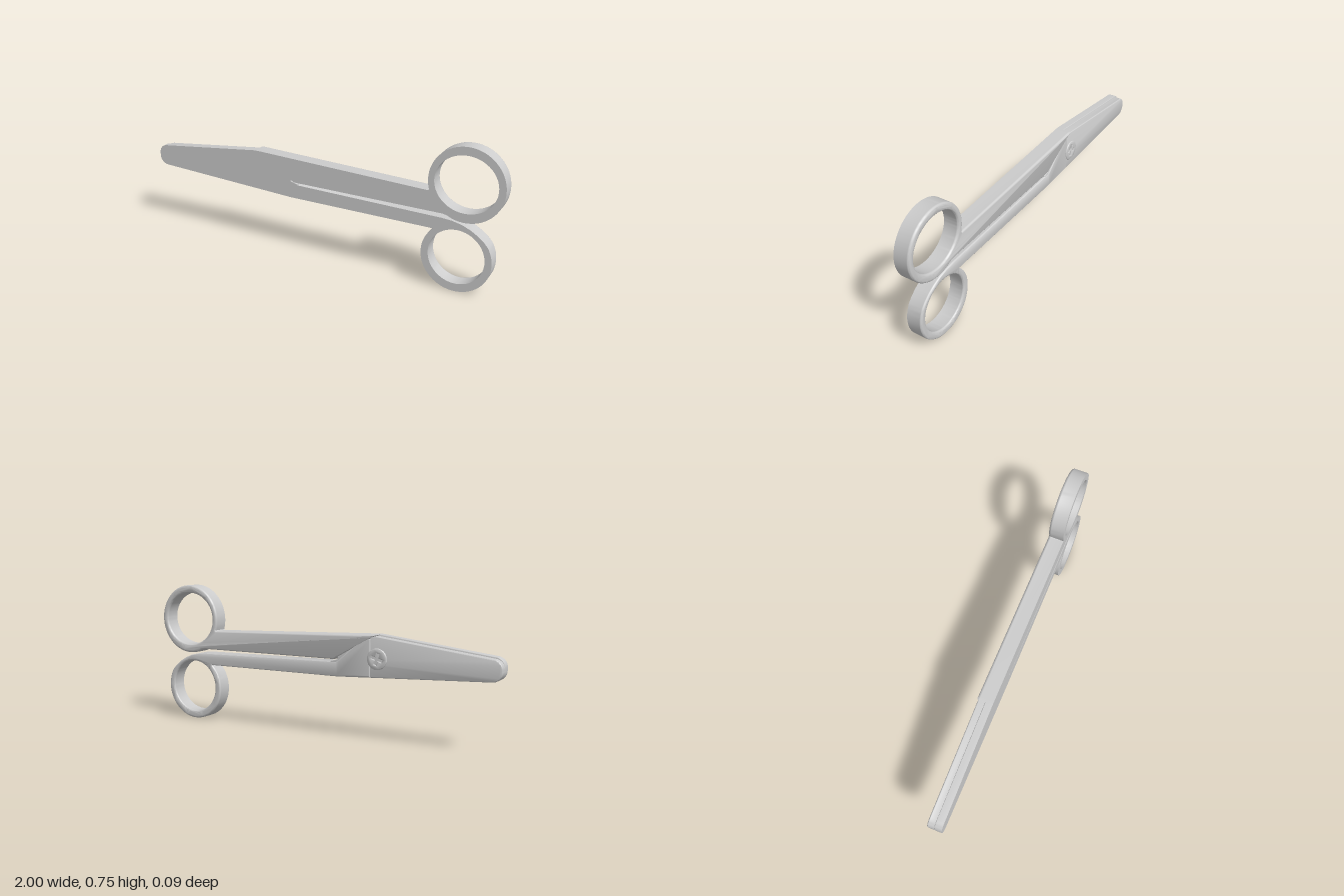
import * as THREE from 'three';
import { mergeGeometries, toCreasedNormals } from 'three/addons/utils/BufferGeometryUtils.js';

const FRONT = 0.042;
const material = new THREE.MeshStandardMaterial({ color: 0xcccccc });

// Points along a circular arc, angles in degrees.
function arc(cx, cy, r, from, to, n) {
  return Array.from({ length: n + 1 }, (_, i) => {
    const a = THREE.MathUtils.degToRad(from + (to - from) * i / n);
    return [cx + r * Math.cos(a), cy + r * Math.sin(a)];
  });
}

function outline(points, hole) {
  const shape = new THREE.Shape(points.map(p => new THREE.Vector2(...p)));
  if (hole) {
    const [x, y, rx, ry] = hole;
    shape.holes.push(new THREE.Path().absellipse(x, y, rx, ry, 0, Math.PI * 2, true));
  }
  return shape;
}

// Flat plate with a sharp front edge and a rounded back edge.
function plate(name, shape, back, front, round) {
  const body = new THREE.ExtrudeGeometry(shape, {
    depth: front - back - round, bevelEnabled: false, curveSegments: 48,
  }).translate(0, 0, back + round);
  const rim = new THREE.ExtrudeGeometry(shape, {
    depth: 0.002, bevelEnabled: true, bevelThickness: round, bevelSize: round,
    bevelOffset: -round, bevelSegments: 4, curveSegments: 48,
  }).translate(0, 0, back + round);
  const mesh = new THREE.Mesh(toCreasedNormals(mergeGeometries([body, rim]), 0.6), material);
  mesh.name = name;
  return mesh;
}

// Blade with a blunt rounded tip; inset lowers the top edge a little.
function bladeShape(inset) {
  const r = 0.05;
  return outline([
    [-0.1, 0.395], [-0.14, 0.405], [-0.14, 0.53 - inset], [-0.36, 0.54 - inset],
    ...arc(-0.95, 0.418 - inset, r, 97, 180, 8),
    ...arc(-0.95, 0.402, r, 180, 267, 8),
    [-0.14, 0.315], [-0.1, 0.315],
  ]);
}

export function createModel() {
  const group = new THREE.Group();

  // Upper handle: finger ring, shank and slanted shoulder at the pivot
  const upper = outline([
    [-0.12, 0.403], [0.7, 0.403], [0.725, 0.398],
    ...arc(0.808, 0.5675, 0.19, 248, 557, 64),
    [0.622, 0.508], [-0.34, 0.54], [-0.36, 0.539],
  ], [0.806, 0.57, 0.157, 0.145]);
  group.add(plate('upperHandle', upper, -0.042, FRONT, 0.013));

  // Lower handle: ring with a swept shoulder, shank and pivot pad
  const lower = outline([
    [-0.33, 0.324], [-0.14, 0.315], [0.655, 0.315],
    ...arc(0.78, 0.183, 0.18, 134, 390, 56),
    [0.915, 0.297], [0.885, 0.322], [0.845, 0.346], [0.8, 0.365], [0.75, 0.376], [0.7, 0.38],
    [-0.13, 0.391], [-0.145, 0.401], [-0.29, 0.528], [-0.33, 0.52],
  ], [0.781, 0.189, 0.144, 0.144]);
  group.add(plate('lowerHandle', lower, -0.04, FRONT, 0.01));

  // Two overlapping blades
  group.add(plate('frontBlade', bladeShape(0), 0.002, FRONT, 0.004));
  group.add(plate('backBlade', bladeShape(0.008), -0.036, 0.002, 0.006));

  // Pivot screw with a cross-shaped recess
  const head = outline(arc(0, 0, 0.054, 0, 352.5, 47));
  const a = 0.007, b = 0.03;
  const cross = [[a, a], [a, b], [-a, b], [-a, a], [-b, a], [-b, -a],
    [-a, -a], [-a, -b], [a, -b], [a, -a], [b, -a], [b, a]];
  head.holes.push(new THREE.Path(cross.map(p => new THREE.Vector2(...p).rotateAround(new THREE.Vector2(), 0.3))));
  const screw = plate('pivotScrew', head, -0.044, -0.03, 0.005);
  screw.position.set(-0.365, 0.42, 0);
  group.add(screw);

  return group;
}
